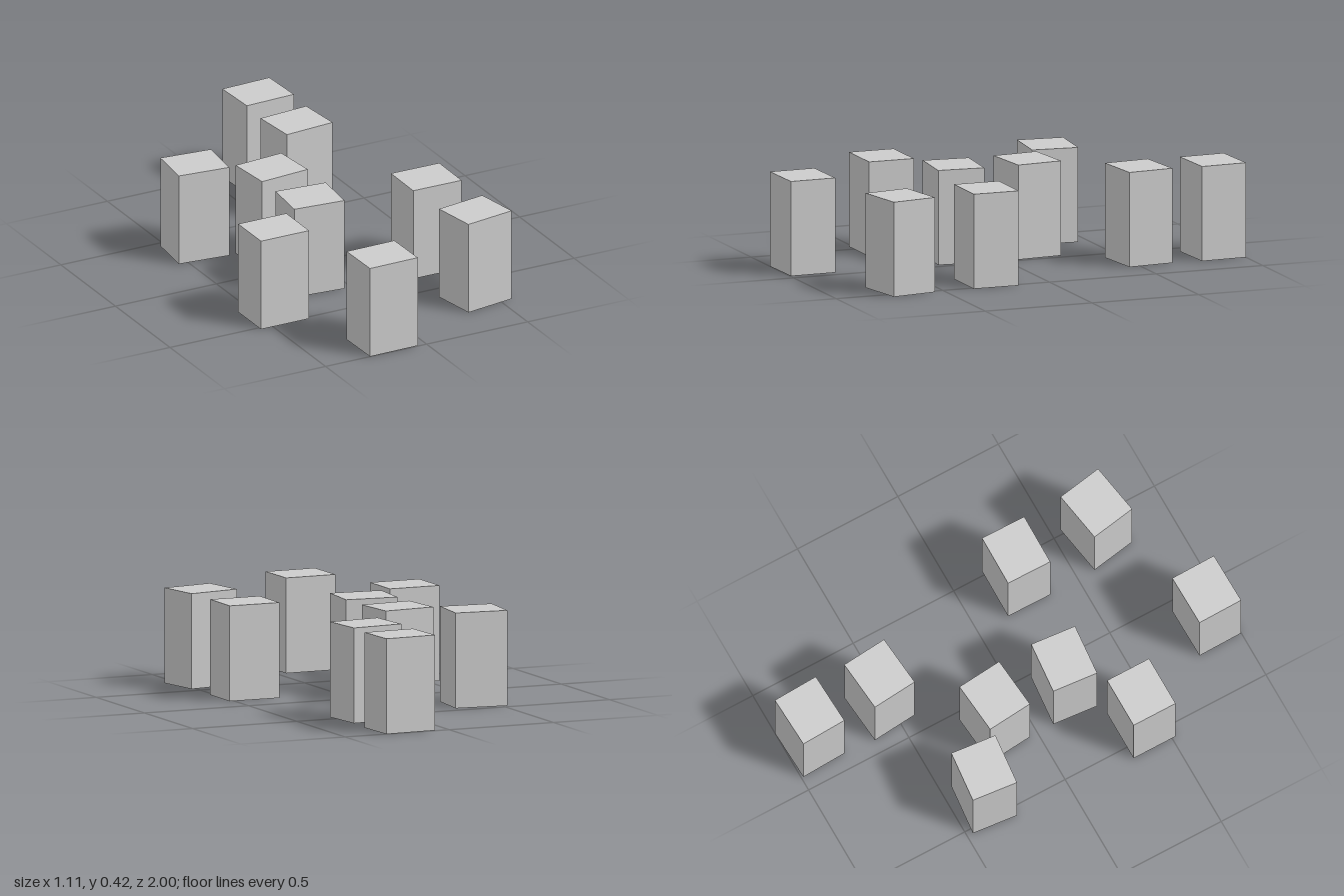
import * as THREE from 'three';

// Shared block size: width, height, depth
const W = 0.238, H = 0.42, D = 0.209;

// Each block: x, z, turn about the vertical axis
const BLOCKS = [
  [0.187, -0.891, 0.043],
  [0.189, -0.542, 0.088],
  [-0.415, -0.356, -0.1],
  [-0.144, -0.153, 0.09],
  [-0.142, 0.194, -0.09],
  [0.4, 0.256, -0.01],
  [-0.44, 0.413, 0],
  [0.421, 0.667, 0.165],
  [-0.162, 0.893, 0.015],
];

export function createModel() {
  const model = new THREE.Group();
  model.name = 'scatteredBlocks';
  const material = new THREE.MeshStandardMaterial({ color: 0xcccccc, flatShading: true });

  // One upright block, resting on the ground
  const geometry = new THREE.BoxGeometry(W, H, D).translate(0, H / 2, 0);

  BLOCKS.forEach(([x, z, turn], i) => {
    const block = new THREE.Mesh(geometry, material);
    block.name = `block${i + 1}`;
    block.position.set(x, 0, z);
    block.rotation.y = turn;
    model.add(block);
  });
  return model;
}
